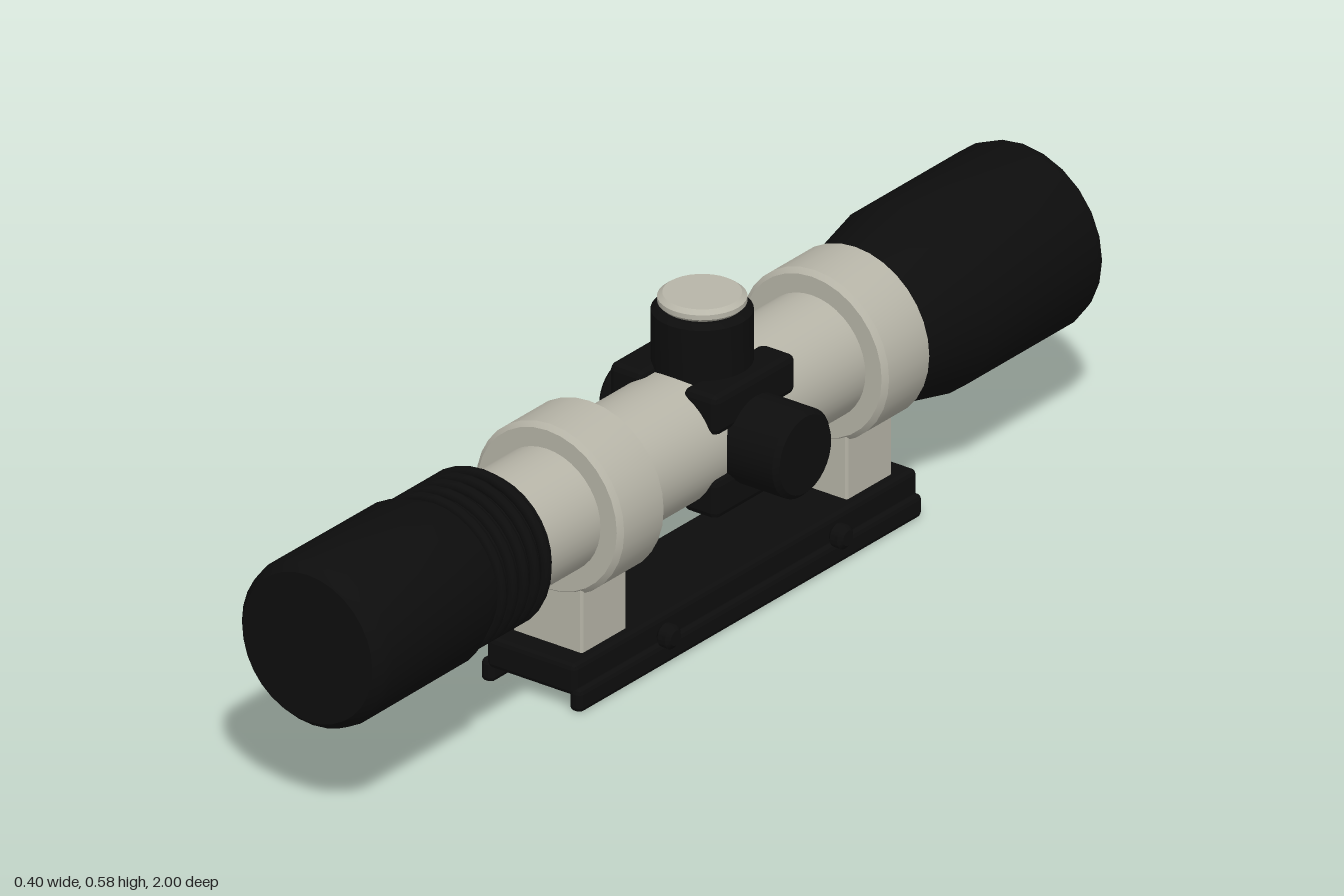
import * as THREE from 'three';
import { toCreasedNormals } from 'three/addons/utils/BufferGeometryUtils.js';
import { RoundedBoxGeometry } from 'three/addons/geometries/RoundedBoxGeometry.js';

const AX = -0.023, AY = 0.342; // optical axis
const TURRET_Z = -0.1;

export function createModel() {
  const model = new THREE.Group();
  const black = new THREE.MeshStandardMaterial({ name: 'matte black', color: 0x0d0d0d });
  const silver = new THREE.MeshStandardMaterial({ name: 'warm silver', color: 0xb7b5a8 });

  const add = (name, geometry, material, x = 0, y = 0, z = 0) => {
    const mesh = new THREE.Mesh(geometry, material);
    mesh.name = name;
    mesh.position.set(x, y, z);
    model.add(mesh);
    return mesh;
  };
  // Turned part; profile is [radius, height] from low to high
  const turned = (profile, sides = 32) => toCreasedNormals(
    new THREE.LatheGeometry(profile.map(([r, h]) => new THREE.Vector2(r, h)), sides), 0.5);
  const alongZ = (name, profile, material, sides) =>
    add(name, turned(profile, sides).rotateX(Math.PI / 2), material, AX, AY, 0);
  // Box with flat chamfered edges, given by its limits
  const block = (name, x0, x1, y0, y1, z0, z1, bevel, material) => {
    const g = new RoundedBoxGeometry(x1 - x0, y1 - y0, z1 - z0, 1, bevel);
    g.computeVertexNormals();
    return add(name, g, material, (x0 + x1) / 2, (y0 + y1) / 2, (z0 + z1) / 2);
  };
  // Turret drum with chamfered outer edge
  const drum = (r, h, c) => turned([[0, 0], [r, 0], [r, h - c], [r - c, h], [0, h]]);

  // Optical tube
  alongZ('mainTube', [[0, -0.55], [0.115, -0.55], [0.115, 0.51], [0, 0.51]], silver, 40);
  alongZ('objectiveBell', [[0, -1], [0.16, -1], [0.17, -0.993], [0.175, -0.975], [0.175, -0.675],
    [0.143, -0.53], [0, -0.53]], black, 24);
  alongZ('eyepiece', [[0, 0.488], [0.13, 0.488], [0.135, 0.645], [0.156, 0.695], [0.157, 0.965],
    [0.152, 0.985], [0.139, 1], [0, 1]], black);
  for (let i = 0; i < 5; i++) {
    add('gripRib', new THREE.TorusGeometry(0.138, 0.01, 8, 32), black, AX, AY, 0.515 + i * 0.031);
  }

  // Mounting rings with their pedestals
  for (const [z0, z1] of [[0.205, 0.333], [-0.535, -0.405]]) {
    alongZ('mountRing', [[0.113, z0], [0.15, z0], [0.159, z0 + 0.009], [0.159, z1 - 0.009],
      [0.15, z1], [0.113, z1]], silver);
    block('ringPedestal', -0.097, 0.051, 0.08, 0.26, z0 + 0.002, z1 - 0.002, 0.004, silver);
  }

  // Turret saddle: central block with four longer corner bars
  block('saddle', AX - 0.108, AX + 0.108, AY - 0.108, AY + 0.108, -0.175, -0.025, 0.008, black);
  for (const sx of [-1, 1]) for (const sy of [-1, 1]) {
    const x = AX + sx * 0.079, y = AY + sy * 0.079;
    block('saddleCornerBar', x - 0.037, x + 0.037, y - 0.037, y + 0.037, -0.212, 0.012, 0.012, black);
  }

  // Adjustment turrets
  add('topTurret', drum(0.088, 0.14, 0.009), black, AX, 0.422, TURRET_Z);
  add('topTurretCap', turned([[0, 0], [0.07, 0], [0.077, 0.007], [0.077, 0.016], [0.068, 0.023],
    [0, 0.023]]), silver, AX, 0.561, TURRET_Z);
  add('leftTurret', drum(0.081, 0.13, 0.009), black, 0.068, AY - 0.001, TURRET_Z).rotation.z = -Math.PI / 2;
  add('rightTurret', drum(0.066, 0.09, 0.009), black, -0.11, AY - 0.001, TURRET_Z).rotation.z = Math.PI / 2;

  // Rail base with side lips
  block('railPlate', -0.118, 0.073, 0.032, 0.09, -0.575, 0.38, 0.009, black);
  for (const x of [-0.118, 0.072]) {
    block('railLip', x - 0.013, x + 0.013, 0.003, 0.046, -0.575, 0.38, 0.009, black);
  }

  // Clamp screws
  for (const z of [0.137, -0.343]) {
    add('clampScrew', turned([[0, 0], [0.014, 0], [0.022, 0.008], [0.022, 0.024], [0.014, 0.031],
      [0, 0.031]], 16), black, 0.072, 0.058, z).rotation.z = -Math.PI / 2;
  }

  return model;
}
